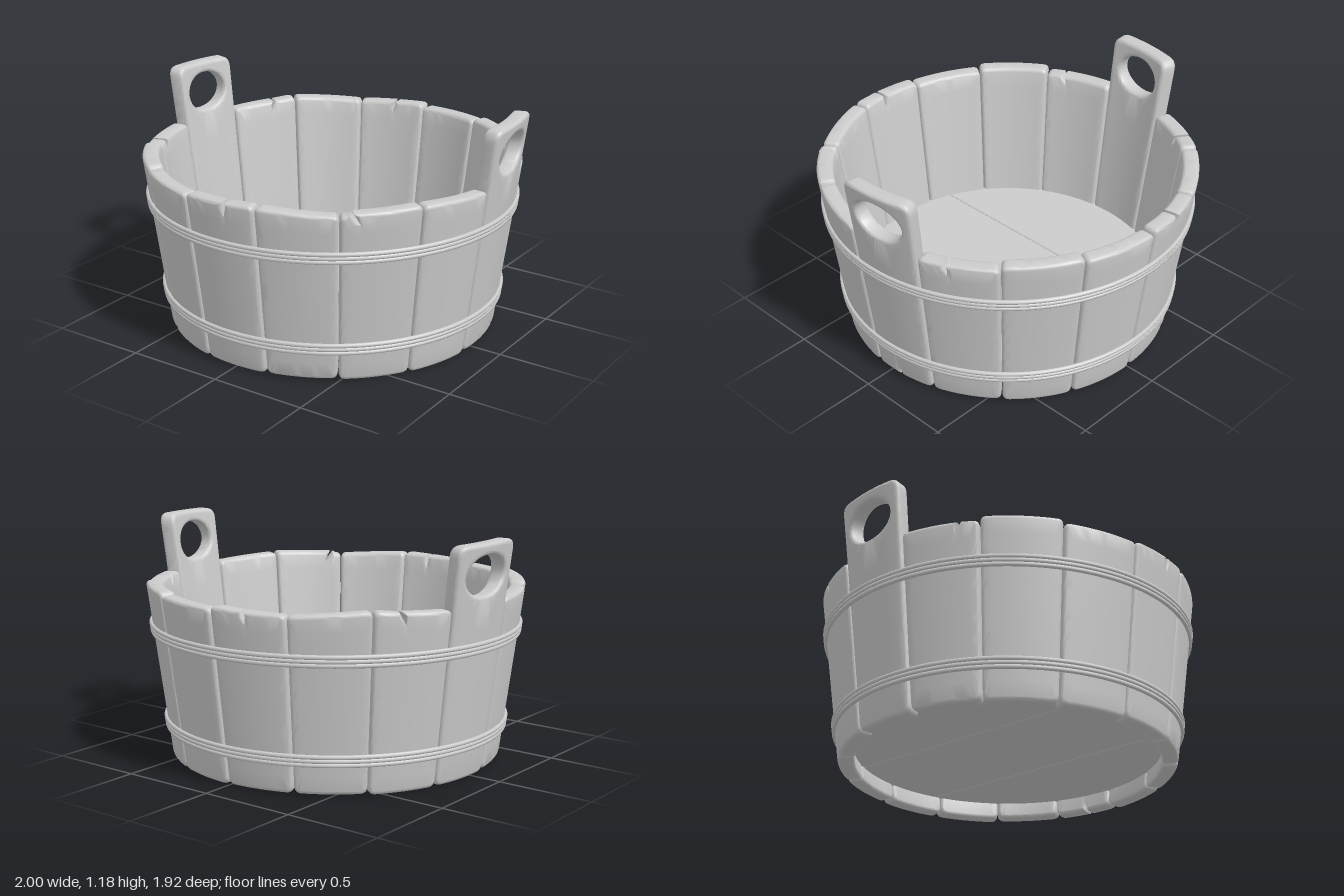
import * as THREE from 'three';
import { toCreasedNormals } from 'three/addons/utils/BufferGeometryUtils.js';

const COUNT = 15, HALF = 0.197, THICK = 0.085, BEVEL = 0.02;
const outerRadius = y => 0.845 + 0.132 * y; // the tub flares upwards
const material = new THREE.MeshStandardMaterial({ color: 0xcccccc });

// Cracks by stave number: u across the stave, lean of the crack, depth
const topCracks = {
  0: [0.04, 0, 0.06], 2: [-0.14, 0.04, 0.06], 5: [-0.066, 0.015, 0.05],
  '-3': [0.1, -0.02, 0.04], '-5': [-0.066, 0.02, 0.05], '-7': [-0.016, 0.01, 0.05],
};

// Flat outline of a stave, anticlockwise, with rounded corners and cracks
function staveOutline(k, isHandle) {
  const w = HALF, c = 0.04, t = isHandle ? 0.055 : 0.03;
  const yl = isHandle ? 1.175 : 0.89 + 0.01 * Math.sin(k * 2.3);
  const yr = isHandle ? 1.18 : 0.89 + 0.01 * Math.cos(k * 3.1);
  const y0 = 0.004 + 0.004 * Math.sin(k * 1.7);
  const s = new THREE.Shape();
  s.moveTo(-w + c, y0);
  if (k === 4) {
    s.lineTo(-0.03, y0);
    s.lineTo(-0.02, y0 + 0.035);
    s.lineTo(-0.01, y0);
  }
  s.lineTo(w - c, y0);
  s.quadraticCurveTo(w, y0, w, y0 + c);
  s.lineTo(w, yr - t);
  s.quadraticCurveTo(w, yr, w - t, yr);
  const crack = topCracks[k];
  if (crack) {
    const [u, lean, depth] = crack, y = (yl + yr) / 2;
    s.lineTo(u + 0.009, y);
    s.lineTo(u + lean, y - depth);
    s.lineTo(u - 0.009, y);
  }
  s.lineTo(-w + t, yl);
  s.quadraticCurveTo(-w, yl, -w, yl - t);
  s.lineTo(-w, y0 + c);
  s.quadraticCurveTo(-w, y0, -w + c, y0);

  // Subdivide long edges so the board bends smoothly
  const corners = s.getPoints(5), points = [];
  for (let i = 0; i < corners.length - 1; i++) {
    const a = corners[i], b = corners[i + 1];
    const n = Math.ceil(a.distanceTo(b) / 0.035);
    for (let j = 0; j < n; j++) points.push(a.clone().lerp(b, j / n));
  }
  return points;
}

// Board lofted from its centre (or grip hole) to the outline, bent round the tub
function staveGeometry(k, isHandle) {
  const outline = staveOutline(k, isHandle), N = outline.length;
  const centre = new THREE.Vector2(0, isHandle ? 1.02 : 0.45);
  const normals = outline.map((p, j) => {
    const d = outline[(j + 1) % N].clone().sub(outline[(j + N - 1) % N]).normalize();
    return new THREE.Vector2(d.y, -d.x);
  });
  const holePoint = (p, e) => {
    if (!isHandle) return centre.clone();
    const a = Math.atan2(p.y - centre.y, p.x - centre.x), rx = 0.137, ry = 0.1;
    const r = rx * ry / Math.hypot(ry * Math.cos(a), rx * Math.sin(a)) + e;
    return new THREE.Vector2(Math.cos(a) * r, centre.y + Math.sin(a) * r);
  };

  // Rows: f from hole to outline, e inset of the edge, d depth below the face
  const half = [], arc = [0, 1, 2, 3, 4].map(i => i * Math.PI / 8);
  const bevelRow = (f, a) => ({ f, e: BEVEL * (1 - Math.cos(a)), d: BEVEL * (1 - Math.sin(a)) });
  if (isHandle) arc.forEach(a => half.push(bevelRow(0, a)));
  else half.push({ f: 0, e: BEVEL, d: 0 });
  for (let i = 1; i < 6; i++) half.push({ f: i / 6, e: BEVEL, d: 0 });
  arc.slice().reverse().forEach(a => half.push(bevelRow(1, a)));
  const rows = [...half, ...half.slice().reverse().map(r => ({ ...r, d: THICK - r.d }))];

  const position = [], index = [];
  for (const { f, e, d } of rows) {
    outline.forEach((p, j) => {
      const edge = p.clone().addScaledVector(normals[j], -e);
      const q = holePoint(p, e).lerp(edge, f);
      const angle = k * Math.PI * 2 / COUNT + q.x / 0.95, r = outerRadius(q.y) - d;
      position.push(Math.sin(angle) * r, q.y, Math.cos(angle) * r);
    });
  }
  const M = rows.length;
  for (let i = 0; i < (isHandle ? M : M - 1); i++) {
    for (let j = 0; j < N; j++) {
      const a = i * N + j, b = i * N + (j + 1) % N;
      const c = ((i + 1) % M) * N + j, d = ((i + 1) % M) * N + (j + 1) % N;
      if (isHandle || i < M - 2) index.push(a, c, d);
      if (isHandle || i > 0) index.push(a, d, b);
    }
  }
  const g = new THREE.BufferGeometry();
  g.setAttribute('position', new THREE.Float32BufferAttribute(position, 3));
  g.setIndex(index);
  return toCreasedNormals(g, 0.7);
}

// Floor board: the slice of a disc between two x positions
function floorBoard(x0, x1) {
  const R = 0.8, b = 0.005, s = new THREE.Shape(), pts = [];
  const lo = Math.max(x0 + b, -R), hi = Math.min(x1 - b, R);
  for (let i = 0; i <= 24; i++) {
    const x = lo + (hi - lo) * (1 - Math.cos(Math.PI * i / 24)) / 2;
    pts.push(new THREE.Vector2(x, -Math.sqrt(Math.max(0, R * R - x * x))));
  }
  const upper = pts.map(p => new THREE.Vector2(p.x, -p.y)).reverse();
  s.setFromPoints([...pts, ...upper].filter((p, i, all) => !i || p.distanceTo(all[i - 1]) > 1e-6));
  const g = new THREE.ExtrudeGeometry(s, {
    depth: 0.07, bevelEnabled: true, bevelSize: b, bevelThickness: b, bevelSegments: 1,
  });
  return g.rotateX(-Math.PI / 2).translate(0, 0.095, 0);
}

export function createModel() {
  const tub = new THREE.Group();
  tub.name = 'woodenTub';
  const add = (geometry, name, parent = tub) => {
    const mesh = new THREE.Mesh(geometry, material);
    mesh.name = name;
    parent.add(mesh);
    return mesh;
  };

  // Ring of staves; two opposite ones rise into handles
  for (let k = -7; k <= 7; k++) {
    const isHandle = Math.abs(k) === 4;
    add(staveGeometry(k, isHandle), isHandle ? (k > 0 ? 'leftHandleStave' : 'rightHandleStave') : 'stave');
  }

  // Floor of three boards
  const floor = new THREE.Group();
  floor.name = 'floor';
  tub.add(floor);
  [[-1, -0.283], [-0.283, 0.283], [0.283, 1]].forEach(([a, b]) => add(floorBoard(a, b), 'floorBoard', floor));

  // Two hoops, each of three strands
  for (const [name, y] of [['lowerHoop', 0.18], ['upperHoop', 0.67]]) {
    const hoop = new THREE.Group();
    hoop.name = name;
    tub.add(hoop);
    for (const dy of [-0.02, 0, 0.02]) {
      const strand = new THREE.TorusGeometry(outerRadius(y + dy) + 0.005, 0.0115, 8, 96);
      add(strand.rotateX(Math.PI / 2).translate(0, y + dy, 0), 'hoopStrand', hoop);
    }
  }
  return tub;
}
